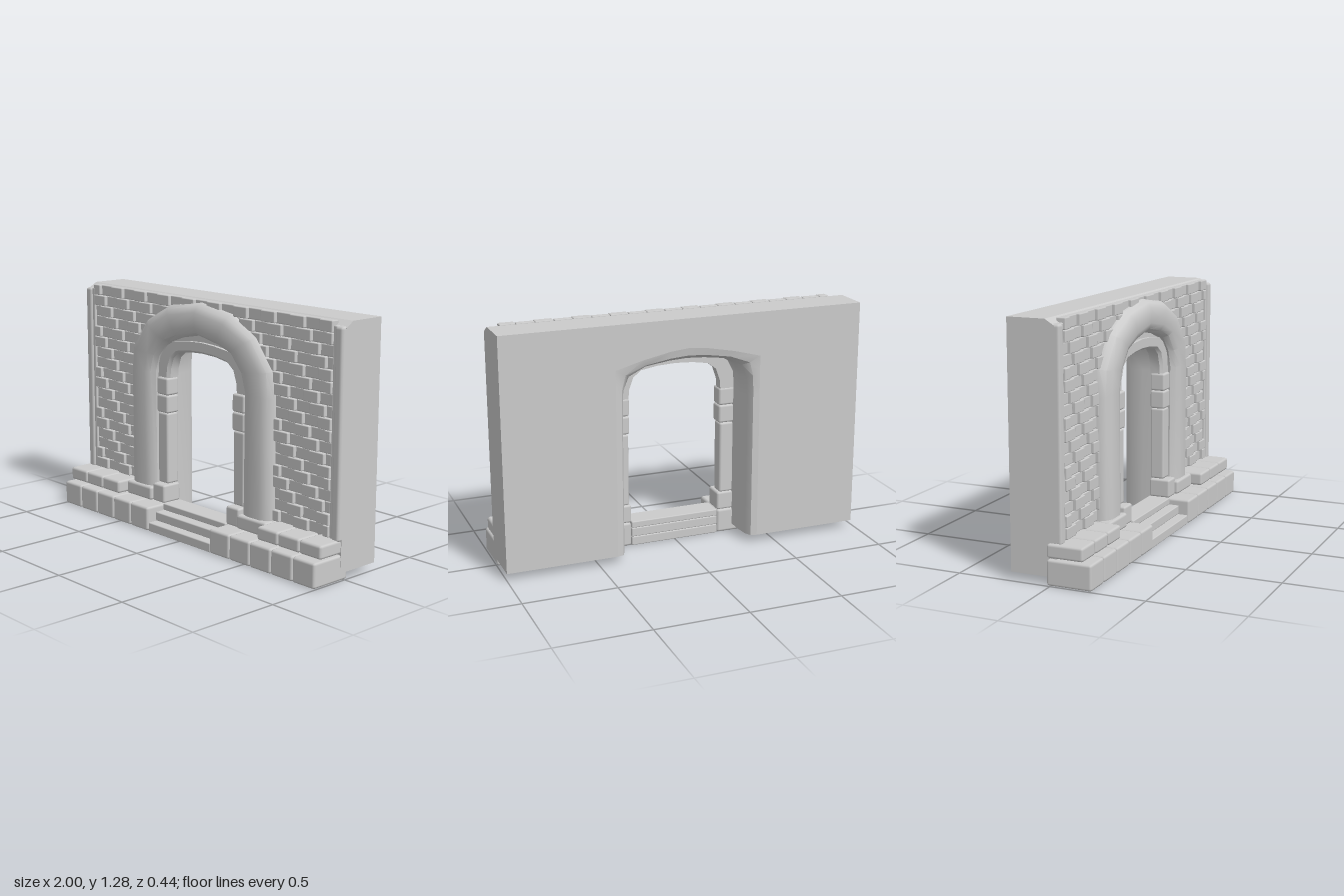
import * as THREE from 'three';
import { toCreasedNormals } from 'three/addons/utils/BufferGeometryUtils.js';
import { RoundedBoxGeometry } from 'three/addons/geometries/RoundedBoxGeometry.js';

const material = new THREE.MeshStandardMaterial({ color: 0xcccccc });

// Half outlines run from the right-hand foot up to the crown; mirror completes them.
const mirror = half => [...half, ...half.slice(0, -1).reverse().map(([x, y]) => [-x, y])];

function add(parent, name, geometry) {
  const mesh = new THREE.Mesh(geometry, material);
  mesh.name = name;
  parent.add(mesh);
  return mesh;
}

// Rounded stone given by its extents.
function stone(parent, name, x0, x1, y0, y1, z0, z1, r = 0.012) {
  const mesh = add(parent, name, new RoundedBoxGeometry(x1 - x0, y1 - y0, z1 - z0, 1, r));
  mesh.position.set((x0 + x1) / 2, (y0 + y1) / 2, (z0 + z1) / 2);
}

// Solid band between two outlines; section points are [inner-to-outer fraction, z].
function band(parent, name, inner, outer, section, crease = 0.6) {
  const n = section.length, at = (i, j) => {
    const [t, z] = section[j % n];
    return [
      inner[i][0] + (outer[i][0] - inner[i][0]) * t,
      inner[i][1] + (outer[i][1] - inner[i][1]) * t, z];
  };
  const pos = [];
  const tri = (a, b, c) => pos.push(...a, ...b, ...c);
  const last = inner.length - 1;
  for (let i = 0; i < last; i++) {
    for (let j = 0; j < n; j++) {
      tri(at(i, j), at(i, j + 1), at(i + 1, j));
      tri(at(i, j + 1), at(i + 1, j + 1), at(i + 1, j));
    }
  }
  for (let j = 1; j < n - 1; j++) {
    tri(at(0, 0), at(0, j + 1), at(0, j));
    tri(at(last, 0), at(last, j), at(last, j + 1));
  }
  const g = new THREE.BufferGeometry();
  g.setAttribute('position', new THREE.Float32BufferAttribute(pos, 3));
  add(parent, name, toCreasedNormals(g, crease));
}

export function createModel() {
  const model = new THREE.Group();
  model.name = 'archedGateway';
  const top = 1.285;

  // Wall: a back slab and a front slab whose top slopes down to the front
  const liningOuter = mirror([[0.4, 0.04], [0.4, 0.85], [0.4, 0.97], [0.4, 1.05], [0.25, 1.09], [0.1, 1.12], [0, 1.13]]);
  const liningInner = mirror([[0.34, 0.04], [0.34, 0.83], [0.335, 0.92], [0.3, 0.99], [0.22, 1.035], [0.1, 1.05], [0, 1.055]]);
  const outline = [[1, 0.04], [1, top], [-0.98, top], [-0.98, 0.04], ...[...liningOuter].reverse()];
  const wallShape = new THREE.Shape(outline.map(p => new THREE.Vector2(...p)));
  for (const [name, z0, z1, drop] of [['wallBack', -0.22, -0.02, 0], ['wallFront', -0.02, 0.03, 0.03]]) {
    const g = new THREE.ExtrudeGeometry(wallShape, { depth: z1 - z0, bevelEnabled: false });
    g.translate(0, 0, z0);
    const p = g.attributes.position;
    for (let i = 0; i < p.count; i++) {
      if (p.getY(i) > top - 0.001 && p.getZ(i) > z1 - 0.001) p.setY(i, top - drop);
    }
    g.computeVertexNormals();
    add(model, name, g);
  }

  // Rounded reveal that widens towards the back of the opening
  band(model, 'reveal', liningInner, liningOuter,
    [[0, -0.1], [0, 0.03], [1, 0.03], [1, -0.22], [0.45, -0.212], [0.15, -0.175]], 0.75);

  // Large arch moulding on the front
  const archInner = mirror([[0.35, 0.2], [0.355, 0.86], [0.325, 0.95], [0.25, 1.035], [0.15, 1.07], [0, 1.1]]);
  const archOuter = mirror([[0.55, 0.2], [0.55, 0.84], [0.54, 0.98], [0.42, 1.14], [0.24, 1.235], [0, 1.272]]);
  band(model, 'archMoulding', archInner, archOuter,
    [[0, 0.02], [0, 0.06], [0.1, 0.085], [0.28, 0.098], [0.72, 0.098], [0.9, 0.08], [1, 0.05], [1, 0.02]]);

  // Slim inner arch resting on the door columns
  const frameInner = mirror([[0.262, 0.83], [0.258, 0.88], [0.235, 0.945], [0.19, 0.98], [0.1, 0.995], [0, 1]]);
  const frameOuter = mirror([[0.345, 0.83], [0.338, 0.92], [0.3, 0.995], [0.22, 1.04], [0.1, 1.055], [0, 1.06]]);
  band(model, 'innerArch', frameInner, frameOuter,
    [[0, -0.02], [0, 0.035], [0.2, 0.05], [1, 0.05], [1, -0.02]]);

  for (const s of [-1, 1]) {
    const side = new THREE.Group();
    side.name = s > 0 ? 'leftStones' : 'rightStones';
    model.add(side);
    const block = (name, a, b, ...rest) =>
      stone(side, name, Math.min(s * a, s * b), Math.max(s * a, s * b), ...rest);

    // Two courses of plinth stones
    for (let i = 0; i < 5; i++) {
      block('plinthStone', 0.251 + i * 0.15, 0.399 + i * 0.15, 0, 0.133, -0.02, 0.22, 0.014);
    }
    for (let i = 0; i < 3; i++) {
      block('upperPlinthStone', 0.558 + i * 0.147, 0.703 + i * 0.147, 0.138, 0.21, -0.02, 0.175, 0.014);
    }
    block('archBase', 0.345, 0.556, 0.133, 0.21, -0.02, 0.115, 0.014);

    // Door column
    block('columnBase', 0.25, 0.345, 0.133, 0.235, -0.02, 0.1);
    block('columnShaft', 0.262, 0.342, 0.235, 0.635, -0.02, 0.06);
    block('columnStone', 0.256, 0.345, 0.635, 0.735, -0.02, 0.065);
    block('columnCap', 0.256, 0.345, 0.735, 0.832, -0.02, 0.065);

    // Corner post with a narrow fillet beside it
    const end = s > 0 ? 1 : 0.98;
    block('cornerPost', end - 0.05, end, 0.2, 1.262, -0.02, 0.056, 0.015);
    block('postFillet', end - 0.068, end - 0.045, 0.2, 1.262, 0, 0.045, 0.006);
  }

  // Steps through the doorway
  [[0, 0.05, 0.213], [0.05, 0.1, 0.16], [0.1, 0.137, 0.105]].forEach(([y0, y1, z]) =>
    stone(model, 'step', -0.25, 0.25, y0, y1, -0.02, z, 0.006));

  // Brick facing: alternating proud and shallow bricks, staggered by row
  const bricks = new THREE.Group();
  bricks.name = 'brickFacing';
  model.add(bricks);
  const rows = 18, h = (top - 0.21) / rows, left = -0.91, right = 0.93, w = 0.1;
  // The moulding's centre line hides the cut edges of the bricks
  const hidden = (x, y) => y < 0.9 ? Math.abs(x) < 0.46 : Math.hypot(x / 0.46, (y - 0.85) / 0.335) < 1;
  for (let r = 0; r < rows; r++) {
    const y = 0.21 + r * h;
    for (let k = 0; k < 20; k++) {
      const start = left + (k - (r % 2) * 0.45) * w;
      const x0 = Math.max(left, start), x1 = Math.min(right, start + w);
      if (x1 - x0 < 0.03 || hidden((x0 + x1) / 2, y + h / 2)) continue;
      const z = (k + (r >> 1)) % 2 ? 0.037 : 0.052;
      stone(bricks, 'brick', x0 + 0.001, x1 - 0.001, y + 0.001, y + h - 0.001, 0.005, z, 0.005);
    }
  }
  return model;
}
